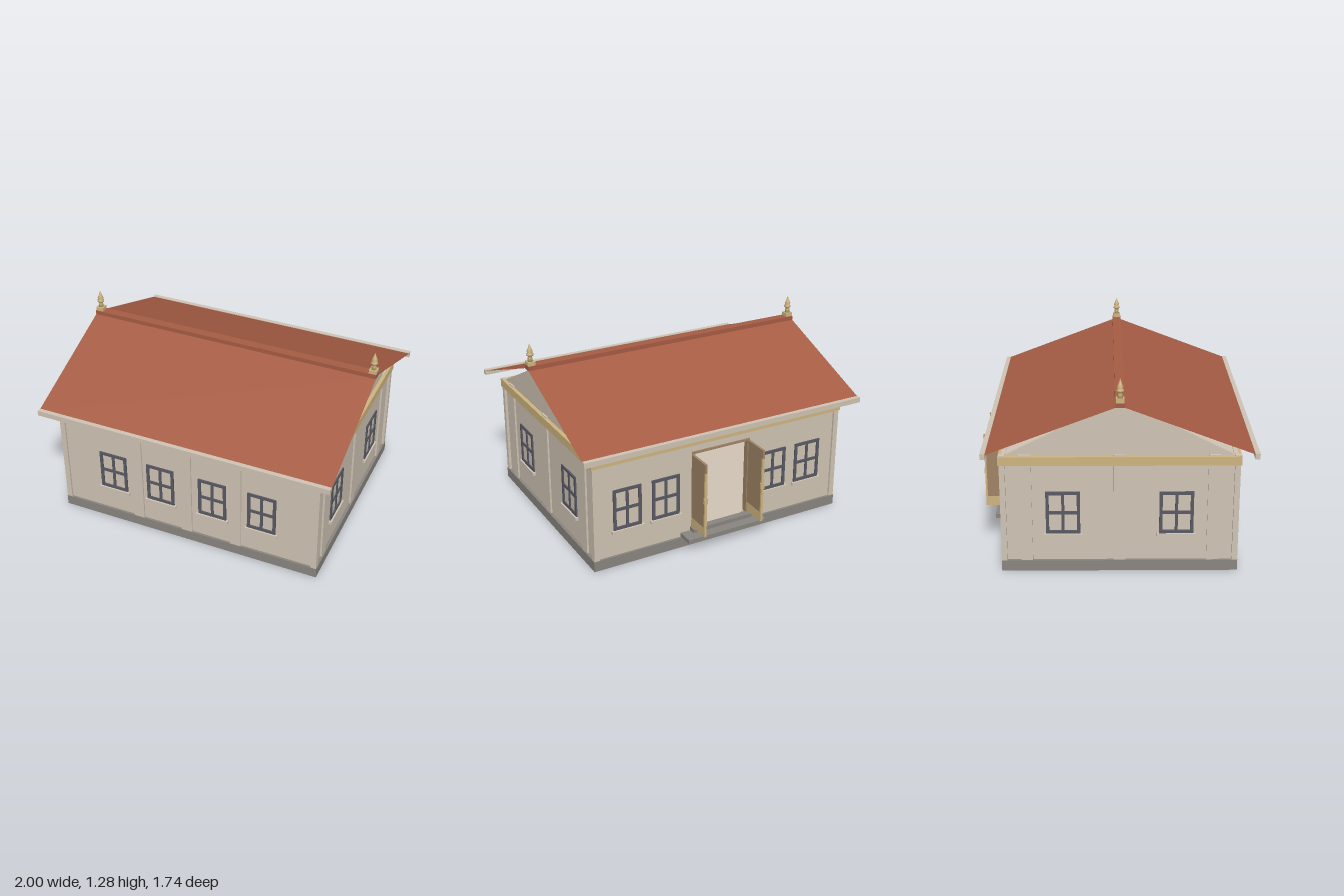
import * as THREE from 'three';

const mat = (name, color, double) => {
  const m = new THREE.MeshStandardMaterial({ color });
  m.name = name;
  if (double) m.side = THREE.DoubleSide;
  return m;
};

export function createModel() {
  const cream = mat('cream plaster', 0xd0c4b4);
  const red = mat('red roof', 0xa65c44, true);
  const gold = mat('ochre trim', 0xcfb680);
  const stone = mat('grey stone', 0x8a8580);
  const brown = mat('brown door', 0x9f8465);
  const slate = mat('slate frames', 0x585963);

  const root = new THREE.Group();
  const house = new THREE.Group();
  house.name = 'house';
  house.position.z = 0.03;
  root.add(house);

  // Box given by its min and max on each axis
  const box = (name, m, x0, x1, y0, y1, z0, z1, parent = house) => {
    const mesh = new THREE.Mesh(new THREE.BoxGeometry(x1 - x0, y1 - y0, z1 - z0), m);
    mesh.position.set((x0 + x1) / 2, (y0 + y1) / 2, (z0 + z1) / 2);
    mesh.name = name;
    parent.add(mesh);
    return mesh;
  };

  // Rectangular ring around the house
  const ring = (name, m, hx, hz, t, y0, y1) => {
    for (const s of [-1, 1]) {
      const zc = s * (hz - t / 2), xc = s * (hx - t / 2);
      box(name, m, -hx, hx, y0, y1, zc - t / 2, zc + t / 2);
      box(name, m, xc - t / 2, xc + t / 2, y0, y1, -hz + t, hz - t);
    }
  };

  // Plinth, floor and ceiling
  ring('plinth', stone, 0.91, 0.735, 0.075, 0, 0.07);
  box('floor', cream, -0.88, 0.88, 0.06, 0.075, -0.71, 0.71);
  box('ceiling', cream, -0.88, 0.88, 0.75, 0.765, -0.71, 0.71);

  // Walls, with the doorway in the back
  const WX = 0.89, WZ = 0.72, T = 0.025, Y0 = 0.07, Y1 = 0.77;
  box('frontWall', cream, -WX, WX, Y0, Y1, WZ - T, WZ);
  for (const s of [-1, 1]) {
    const a = s * WX, b = s * (WX - T);
    box('sideWall', cream, Math.min(a, b), Math.max(a, b), Y0, Y1, -WZ + T, WZ - T);
    const c = s * 0.2;
    box('backWall', cream, Math.min(a, c), Math.max(a, c), Y0, Y1, -WZ, -WZ + T);
  }
  box('doorHead', cream, -0.2, 0.2, 0.645, Y1, -WZ, -WZ + T);
  box('doorSill', cream, -0.2, 0.2, Y0, 0.125, -WZ, -WZ + T);

  // Corner posts and pilasters
  for (const x of [-1, 1]) for (const z of [-1, 1]) {
    const post = box('cornerPost', cream, -0.0175, 0.0175, Y0, 0.772, -0.0175, 0.0175);
    post.position.x = x * 0.89;
    post.position.z = z * 0.7165;
  }
  for (const x of [-0.352, 0, 0.348]) box('frontPilaster', cream, x - 0.037, x + 0.037, Y0, 0.772, WZ, WZ + 0.012);
  for (const s of [-1, 1]) for (const z of [-0.577, 0, 0.577]) {
    const p = box('sidePilaster', cream, -0.006, 0.006, Y0, 0.775, z - 0.037, z + 0.037);
    p.position.x = s * (WX + 0.006);
  }
  ring('cornice', gold, 0.915, 0.74, 0.03, 0.71, 0.767);

  // Gables
  const tri = new THREE.Shape([[-0.705, 0.767], [0.705, 0.767], [0.03, 1.11], [-0.03, 1.11]].map(p => new THREE.Vector2(...p)));
  for (const s of [-1, 1]) {
    const g = new THREE.Mesh(new THREE.ExtrudeGeometry(tri, { depth: 0.02, bevelEnabled: false }), cream);
    g.name = 'gable';
    g.rotation.y = s * Math.PI / 2;
    g.position.x = s * 0.87;
    house.add(g);
  }

  // Thin roof slopes, eave boards and ridge
  const run = 0.815 - 0.02, drop = 1.115 - 0.812;
  for (const s of [0, 1]) {
    const side = new THREE.Group();
    side.name = 'roofSide';
    side.rotation.y = s * Math.PI;
    const slope = new THREE.Mesh(new THREE.PlaneGeometry(2, Math.hypot(run, drop)), red);
    slope.name = 'roofSlope';
    slope.rotation.x = -Math.PI / 2 + Math.atan2(drop, run);
    slope.position.set(0, 1.115 - drop / 2, 0.02 + run / 2);
    side.add(slope);
    box('eaveBoard', cream, -1, 1, 0.785, 0.82, 0.805, 0.835, side);
    house.add(side);
  }
  box('ridge', red, -1, 1, 1.11, 1.14, -0.03, 0.03);

  // Finials at both ends of the ridge
  const profile = [[0, 1.165], [0.017, 1.165], [0.014, 1.19], [0.013, 1.2], [0.022, 1.204], [0.023, 1.215],
    [0.014, 1.222], [0.02, 1.232], [0.012, 1.25], [0, 1.285]].map(p => new THREE.Vector2(...p));
  for (const x of [-0.974, 0.974]) {
    box('finialBase', gold, x - 0.025, x + 0.025, 1.14, 1.165, -0.025, 0.025);
    const f = new THREE.Mesh(new THREE.LatheGeometry(profile, 12), gold);
    f.name = 'finial';
    f.position.x = x;
    house.add(f);
  }

  // Window with four panes and a sill, facing +z
  const addWindow = (x, z, turn, w = 0.195) => {
    const g = new THREE.Group();
    g.name = 'window';
    const h = w / 2, b = 0.02, y0 = 0.25, y1 = 0.53, d = 0.009;
    for (const s of [-1, 1]) box('frameSide', slate, s * (h - b / 2) - b / 2, s * (h - b / 2) + b / 2, y0, y1, 0, d, g);
    box('frameBottom', slate, -h + b, h - b, y0, y0 + b, 0, d, g);
    box('frameTop', slate, -h + b, h - b, y1 - b, y1, 0, d, g);
    box('mullion', slate, -0.009, 0.009, y0 + b, y1 - b, 0, d - 0.002, g);
    box('crossbar', slate, -h + b, h - b, 0.381, 0.4, 0, d - 0.001, g);
    box('sill', cream, -h - 0.014, h + 0.014, 0.23, 0.25, 0, 0.02, g);
    g.position.set(x, 0, z);
    g.rotation.y = turn;
    house.add(g);
  };
  for (const x of [-0.53, -0.187, 0.183, 0.525]) addWindow(x, WZ, 0);
  for (const x of [-0.67, -0.4, 0.4, 0.67]) addWindow(x, -WZ, Math.PI);
  for (const s of [-1, 1]) for (const z of [-0.35, 0.35]) addWindow(s * WX, z, s * Math.PI / 2, 0.212);

  // Open double doors, door frame and steps
  for (const s of [-1, 1]) {
    const d = new THREE.Group();
    d.name = 'door';
    d.position.x = s * 0.21;
    box('doorPanel', brown, -0.008, 0.008, 0.2, 0.645, -0.885, -0.73, d);
    box('doorStile', gold, -0.008, 0.008, 0.2, 0.585, -0.897, -0.885, d);
    box('doorStileTop', brown, -0.008, 0.008, 0.585, 0.645, -0.897, -0.885, d);
    box('doorRail', gold, -0.008, 0.008, 0.135, 0.2, -0.897, -0.73, d);
    box('doorHandle', gold, -0.013, 0.013, 0.37, 0.41, -0.9, -0.885, d);
    house.add(d);
    const jamb = box('doorJamb', brown, -0.008, 0.008, 0.125, 0.645, -0.73, -0.69);
    jamb.position.x = s * 0.204;
  }
  box('doorLintel', brown, -0.212, 0.212, 0.645, 0.66, -0.73, -0.69);
  box('lowerStep', stone, -0.29, 0.29, 0.07, 0.098, -0.83, -0.71);
  box('upperStep', stone, -0.22, 0.22, 0.098, 0.125, -0.765, -0.71);

  // Table and stools inside
  const furniture = (name, x, z, w, d, top) => {
    const g = new THREE.Group();
    g.name = name;
    g.position.set(x, 0, z);
    box(name + 'Top', slate, -w, w, top - 0.015, top, -d, d, g);
    for (const a of [-1, 1]) for (const b of [-1, 1]) {
      const leg = box(name + 'Leg', slate, -0.008, 0.008, 0.075, top - 0.015, -0.008, 0.008, g);
      leg.position.x = a * (w - 0.012);
      leg.position.z = b * (d - 0.012);
    }
    house.add(g);
  };
  furniture('table', 0.41, -0.2, 0.11, 0.08, 0.2);
  for (const x of [0.35, 0.47]) for (const z of [-0.33, -0.07]) furniture('stool', x, z, 0.035, 0.03, 0.14);

  return root;
}
